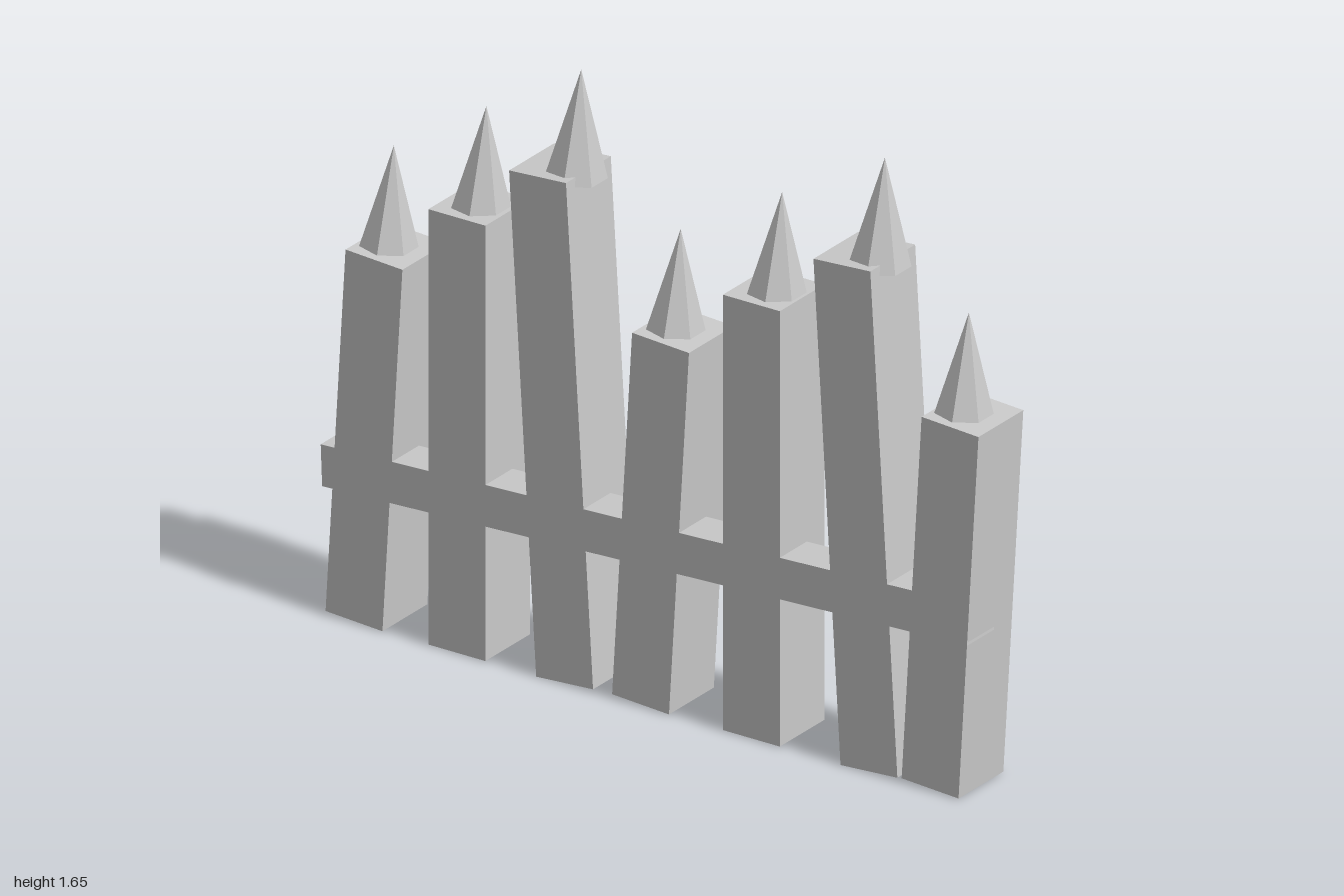
import * as THREE from 'three';

export function createModel() {
  const group = new THREE.Group();
  group.name = 'spikedFence';
  const mat = new THREE.MeshStandardMaterial({ color: 0xcccccc, flatShading: true });

  const add = (name, geometry, x, y, z, tilt) => {
    const mesh = new THREE.Mesh(geometry, mat);
    mesh.name = name;
    mesh.position.set(x, y, z);
    mesh.rotation.z = tilt;
    group.add(mesh);
  };

  // Three post heights: leaning right, upright, leaning left
  const LEAN = 0.06;
  const kinds = {
    short: { bottom: 0.01, top: 1.018, tilt: -LEAN },
    middle: { bottom: 0.005, top: 1.2, tilt: 0 },
    tall: { bottom: 0.008, top: 1.376, tilt: LEAN },
  };

  // [kind, post centre x, spike base x]
  const posts = [
    ['short', -0.868, -0.863],
    ['middle', -0.586, -0.582],
    ['tall', -0.3, -0.294],
    ['short', 0.002, 0.008],
    ['middle', 0.308, 0.316],
    ['tall', 0.624, 0.628],
    ['short', 0.881, 0.883],
  ];

  const SPIKE = 0.293;
  posts.forEach(([kind, x, spikeX], i) => {
    const { bottom, top, tilt } = kinds[kind];
    const length = (top - bottom) / Math.cos(tilt);
    add(`post${i + 1}`, new THREE.BoxGeometry(0.173, length, 0.196), x, (top + bottom) / 2, 0, tilt);

    // Seven-sided spike, sunk a little into the post top and leaning right
    const spike = new THREE.ConeGeometry(0.082, SPIKE, 7, 1, false, -Math.PI / 2);
    spike.translate(0, SPIKE / 2, 0);
    add(`spike${i + 1}`, spike, spikeX, top - 0.018, 0, -LEAN);
  });

  // Slightly rising cross rail, flush with the front of the posts
  add('rail', new THREE.BoxGeometry(1.96, 0.114, 0.118), -0.018, 0.45, 0.039, 0.039);

  return group;
}
